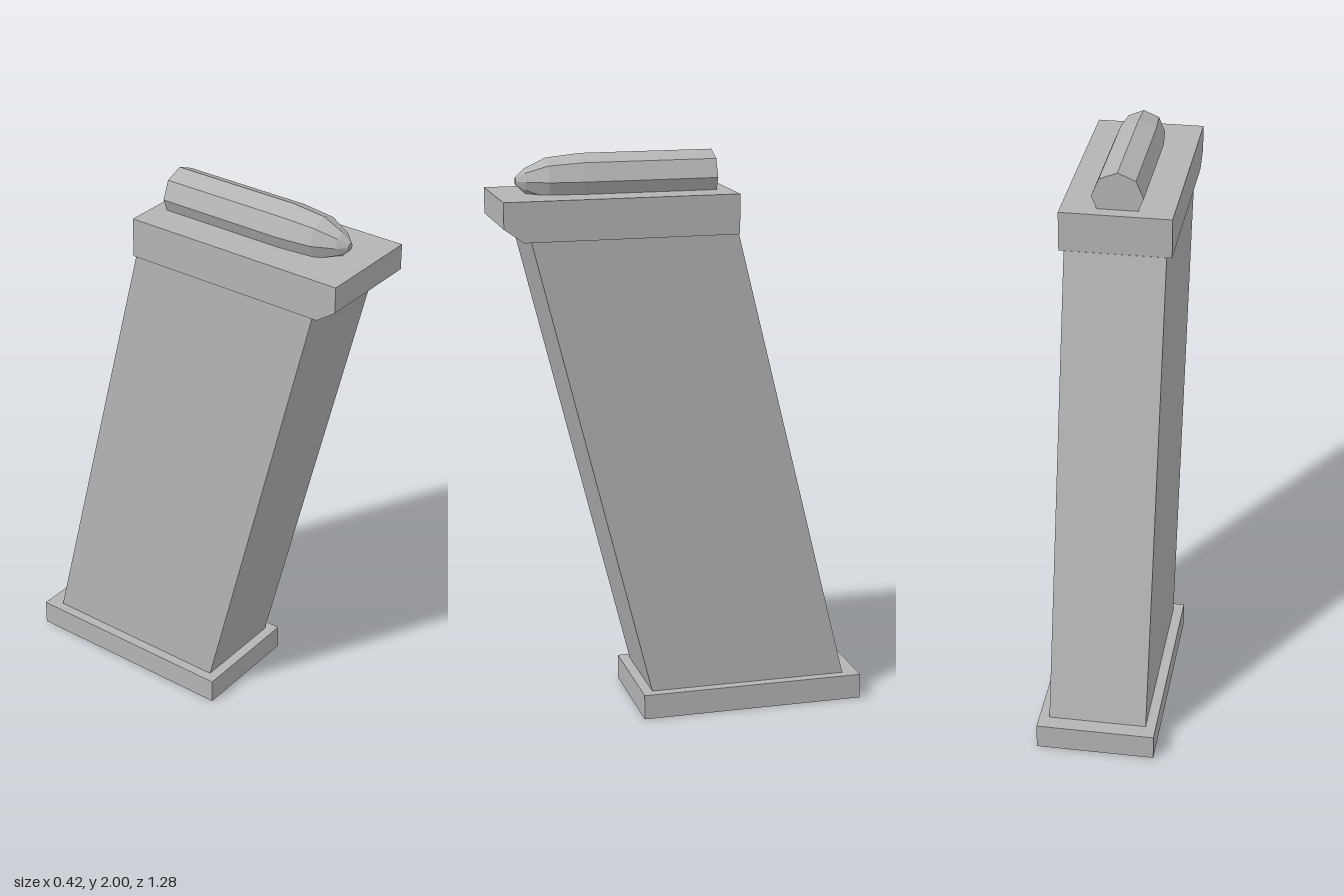
import * as THREE from 'three';

const steel = new THREE.MeshStandardMaterial({ color: 0xb4b4b4 });
steel.name = 'steel grey';

// Side profile as [z, y] points, extruded across x and centred
function slab(name, profile, width) {
  const shape = new THREE.Shape(profile.map(([z, y]) => new THREE.Vector2(z, y)));
  const geometry = new THREE.ExtrudeGeometry(shape, { depth: width, bevelEnabled: false });
  geometry.translate(0, 0, -width / 2);
  geometry.rotateY(-Math.PI / 2);
  const mesh = new THREE.Mesh(geometry, steel);
  mesh.name = name;
  return mesh;
}

// Eight-sided pointed round lying along z, half sunk in the top collar
function makeRound() {
  const profile = [
    [0, -0.125], [0.088, -0.125], [0.088, 0.34], [0.076, 0.46],
    [0.041, 0.535], [0.012, 0.565], [0, 0.565],
  ].map(([r, z]) => new THREE.Vector2(r, z));
  const geometry = new THREE.LatheGeometry(profile, 8).toNonIndexed();
  geometry.computeVertexNormals(); // flat facets
  geometry.rotateX(Math.PI / 2);
  const mesh = new THREE.Mesh(geometry, steel);
  mesh.name = 'round';
  mesh.position.y = 1.912;
  return mesh;
}

export function createModel() {
  const model = new THREE.Group();
  model.name = 'magazine';
  model.add(
    slab('basePlate', [[-0.64, 0], [0.172, 0], [0.172, 0.09], [-0.64, 0.09]], 0.418),
    // Leaning box body
    slab('body', [[-0.583, 0.09], [0.135, 0.09], [0.545, 1.73], [-0.175, 1.73]], 0.346),
    // Collar with a chamfered front lower edge
    slab('topCollar', [[-0.174, 1.73], [0.572, 1.73], [0.64, 1.778], [0.64, 1.868], [-0.174, 1.868]], 0.382),
    makeRound(),
  );
  return model;
}
